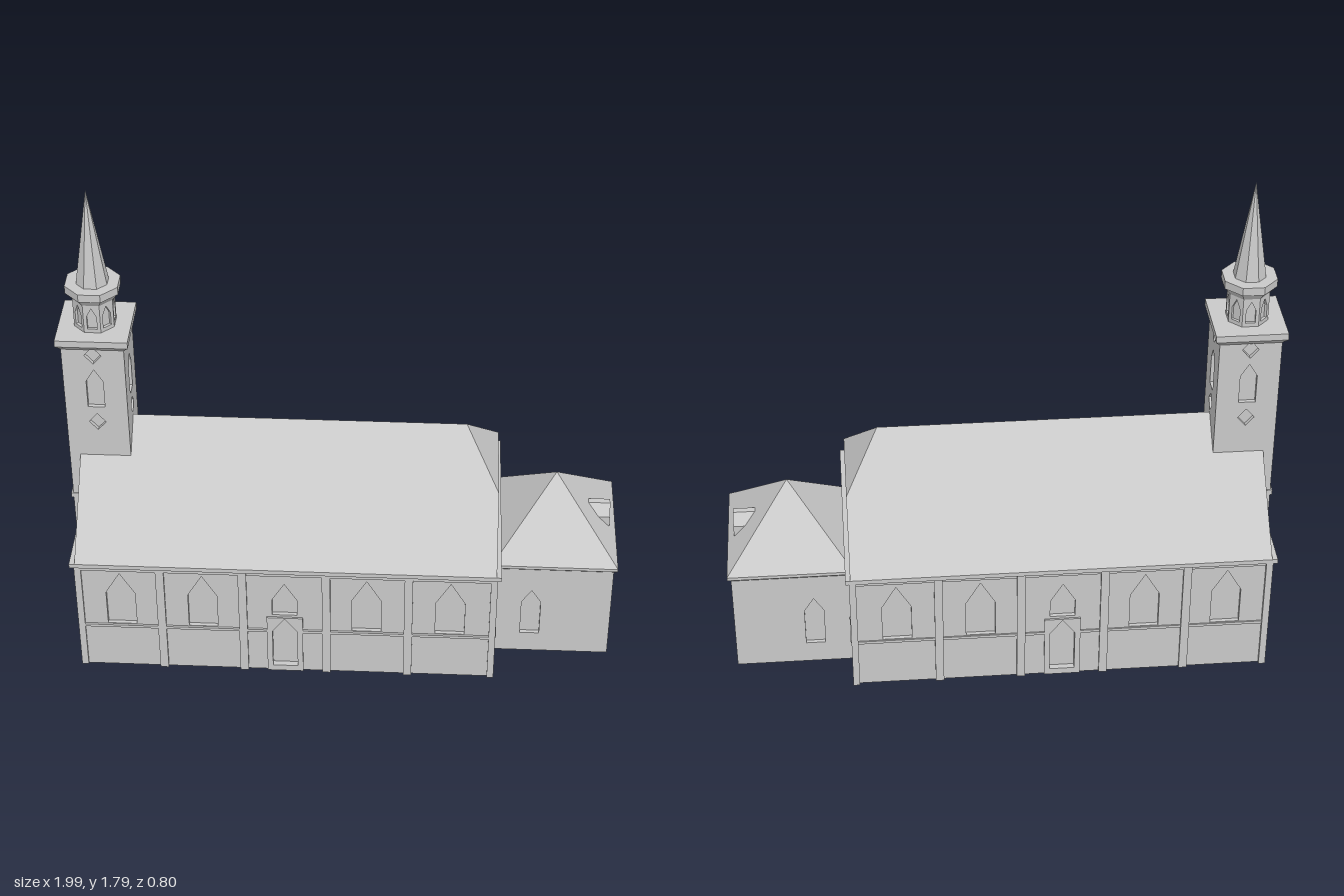
import * as THREE from 'three';
import { ConvexGeometry } from 'three/addons/geometries/ConvexGeometry.js';

const DEPTH = 0.015; // how far windows and doors are recessed
const stone = new THREE.MeshStandardMaterial({ color: 0xc8c8c8, flatShading: true });
stone.name = 'pale stone';

function add(parent, name, geometry, x = 0, y = 0, z = 0) {
  const mesh = new THREE.Mesh(geometry, stone);
  mesh.name = name;
  mesh.position.set(x, y, z);
  parent.add(mesh);
  return mesh;
}

// Box given by its limits on each axis
function block(parent, name, x0, x1, y0, y1, z0, z1) {
  return add(parent, name, new THREE.BoxGeometry(x1 - x0, y1 - y0, z1 - z0),
    (x0 + x1) / 2, (y0 + y1) / 2, (z0 + z1) / 2);
}

// Solid from corner points; each point is repeated at -z
function solid(parent, name, points) {
  const all = [];
  for (const [x, y, z] of points) {
    all.push(new THREE.Vector3(x, y, z));
    if (z) all.push(new THREE.Vector3(x, y, -z));
  }
  return add(parent, name, new ConvexGeometry(all));
}

// Opening outlines
const lancet = (x, w, y0, spring, top) =>
  [[x - w / 2, y0], [x + w / 2, y0], [x + w / 2, spring], [x, top], [x - w / 2, spring]];
const diamond = (y) => [[0, y - 0.035], [0.03, y], [0, y + 0.035], [-0.03, y]];
const rect = (w, y0, y1) => [[-w / 2, y0], [w / 2, y0], [w / 2, y1], [-w / 2, y1]];

// Wall slab with openings; its outer face is at the given position, turned by angle
function wall(parent, name, outline, openings, x, y, z, angle, depth = DEPTH) {
  const toV = (pts) => pts.map(([a, b]) => new THREE.Vector2(a, b));
  const shape = new THREE.Shape(toV(outline));
  for (const o of openings) shape.holes.push(new THREE.Path(toV(o)));
  const geo = new THREE.ExtrudeGeometry(shape, { depth, bevelEnabled: false });
  geo.translate(0, 0, -depth);
  const mesh = add(parent, name, geo, x, y, z);
  mesh.rotation.y = angle;
  return mesh;
}

function createNave() {
  const g = new THREE.Group();
  g.name = 'nave';
  const X0 = -0.945, X1 = 0.555, Z = 0.385, mid = (X0 + X1) / 2;
  block(g, 'naveCore', X0 + DEPTH, X1 - DEPTH, 0, 0.47, -Z + DEPTH, Z - DEPTH);

  // Long walls, mirrored front and back
  for (const s of [1, -1]) {
    const local = (x) => s * (x - mid);
    const openings = [-0.79, -0.495, 0.095, 0.395].map((x) => lancet(local(x), 0.105, 0.2, 0.345, 0.435));
    openings.push(lancet(local(-0.2), 0.09, 0.265, 0.335, 0.41));
    openings.push(lancet(local(-0.2), 0.09, 0.025, 0.19, 0.25));
    wall(g, 'longWall', rect(X1 - X0, 0, 0.47), openings, mid, 0, s * Z, s > 0 ? 0 : Math.PI);
    // Portal surround
    wall(g, 'sidePortal', rect(0.13, 0, 0.255), [lancet(0, 0.09, 0.025, 0.19, 0.25)],
      -0.2, 0, s * (Z + 0.007), s > 0 ? 0 : Math.PI, 0.007);
    // Pilasters
    for (const x of [-0.645, -0.35, -0.05, 0.245]) {
      block(g, 'pilaster', x - 0.015, x + 0.015, 0, 0.47, s * Z - 0.01, s * Z + 0.01);
    }
    for (const x of [X0 + 0.007, X1 - 0.007]) {
      block(g, 'cornerPilaster', x - 0.012, x + 0.012, 0, 0.47, s * Z - 0.012, s * Z + 0.008);
    }
    // String courses, broken by the portal
    for (const [a, b] of [[X0, -0.265], [-0.135, X1]]) {
      block(g, 'stringCourse', a, b, 0.186, 0.197, s * Z - 0.005, s * Z + 0.008);
    }
    block(g, 'upperMoulding', X0, X1, 0.452, 0.472, s * Z - 0.005, s * Z + 0.008);
    for (const [x, t] of [[X0, -1], [X1, 1]]) {
      const a = Math.min(x - t * 0.005, x + t * 0.008), b = Math.max(x - t * 0.005, x + t * 0.008);
      block(g, 'endStringCourse', a, b, 0.186, 0.197, s * 0.25 - 0.13, s * 0.25 + 0.13);
      block(g, 'endUpperMoulding', a, b, 0.452, 0.472, s * 0.25 - 0.1, s * 0.25 + 0.1);
    }
  }

  // End walls
  const ends = [-0.255, 0.255].map((x) => lancet(x, 0.105, 0.2, 0.345, 0.435));
  wall(g, 'towerEndWall', rect(2 * Z, 0, 0.47), ends, X0, 0, 0, -Math.PI / 2);
  wall(g, 'chancelEndWall', rect(2 * Z, 0, 0.47), [], X1, 0, 0, Math.PI / 2);

  // Eaves and half-hipped roof
  block(g, 'eaves', -0.965, 0.572, 0.468, 0.485, -0.4, 0.4);
  solid(g, 'naveRoof', [
    [X0, 0.485, 0.4], [X1, 0.485, 0.4], [X0, 0.86, 0],
    [0.435, 0.86, 0], [X1, 0.691, 0.18],
  ]);
  return g;
}

function createTower() {
  const g = new THREE.Group();
  g.name = 'tower';
  g.position.x = -0.873;
  const R = 0.11, H = 1.23;
  block(g, 'towerCore', -R + DEPTH, R - DEPTH, 0, H, -R + DEPTH, R - DEPTH);

  // Four walls; the outer one also has the entrance and lower windows
  for (let i = 0; i < 4; i++) {
    const a = i * Math.PI / 2;
    const openings = [diamond(1.19), lancet(0, 0.06, 0.97, 1.08, 1.13), diamond(0.905)];
    if (i === 3) {
      openings.push(lancet(0, 0.07, 0.6, 0.68, 0.74), lancet(0, 0.07, 0.385, 0.47, 0.53),
        lancet(0, 0.09, 0.025, 0.22, 0.3));
    }
    wall(g, 'towerWall', rect(2 * R, 0, H), openings, R * Math.sin(a), 0, R * Math.cos(a), a);
  }
  wall(g, 'mainPortal', rect(0.15, 0, 0.33), [lancet(0, 0.09, 0.025, 0.22, 0.3)],
    -R - 0.005, 0, 0, -Math.PI / 2, 0.005);
  for (const y of [0.35, 0.57]) block(g, 'towerBand', -R - 0.007, -R + 0.03, y - 0.01, y + 0.01, -R - 0.004, R + 0.004);

  // Flared cornice
  solid(g, 'towerCornice', [[-R, 1.215, R], [R, 1.215, R], [-0.127, 1.235, 0.127],
    [0.127, 1.235, 0.127], [-0.127, 1.26, 0.127], [0.127, 1.26, 0.127]]);

  // Octagonal belfry with a window in each face
  const k = 1 / Math.cos(Math.PI / 8);
  const octagon = (name, top, bottom, y0, y1) => add(g, name,
    new THREE.CylinderGeometry(top * k, bottom * k, y1 - y0, 8, 1, false, Math.PI / 8), 0, (y0 + y1) / 2, 0);
  octagon('belfryCore', 0.06, 0.06, 1.26, 1.39);
  const side = 2 * 0.07 * Math.tan(Math.PI / 8);
  for (let i = 0; i < 8; i++) {
    const a = i * Math.PI / 4;
    wall(g, 'belfryWall', rect(side, 1.26, 1.38), [lancet(0, 0.034, 1.275, 1.325, 1.36)],
      0.07 * Math.sin(a), 0, 0.07 * Math.cos(a), a, 0.01);
  }
  octagon('belfryFlare', 0.09, 0.07, 1.372, 1.4);
  octagon('belfryCornice', 0.092, 0.092, 1.4, 1.43);
  octagon('spire', 0.0005, 0.054, 1.43, 1.79);
  return g;
}

function createChancel() {
  const g = new THREE.Group();
  g.name = 'chancel';
  g.position.z = -0.004;
  const X0 = 0.54, X1 = 0.98, Z = 0.241, mid = (X0 + X1) / 2;
  block(g, 'chancelCore', X0, X1 - DEPTH, 0, 0.4, -Z + DEPTH, Z - DEPTH);
  for (const s of [1, -1]) {
    wall(g, 'chancelSideWall', rect(X1 - X0, 0, 0.4), [lancet(s * (0.69 - mid), 0.07, 0.085, 0.235, 0.29)],
      mid, 0, s * Z, s > 0 ? 0 : Math.PI);
  }
  wall(g, 'chancelEndWall', rect(2 * Z, 0, 0.4), [lancet(0, 0.07, 0.03, 0.21, 0.265)], X1, 0, 0, Math.PI / 2);

  // Eaves and pyramid roof
  solid(g, 'chancelEaves', [[X0, 0.39, Z], [X1, 0.39, Z], [X0, 0.403, 0.255],
    [0.993, 0.403, 0.255], [X0, 0.415, 0.255], [0.993, 0.415, 0.255]]);
  solid(g, 'chancelRoof', [[0.54, 0.415, 0.255], [0.993, 0.415, 0.255], [0.767, 0.653, 0]]);

  // Small gabled dormer
  const gable = [[-0.045, 0.435], [0.045, 0.435], [0.045, 0.485], [0.012, 0.525], [-0.012, 0.525], [-0.045, 0.485]];
  wall(g, 'dormerFront', gable, [lancet(0, 0.04, 0.45, 0.48, 0.505)], 0.968, 0, 0, Math.PI / 2);
  wall(g, 'dormerBody', gable, [], 0.954, 0, 0, Math.PI / 2, 0.11);
  return g;
}

export function createModel() {
  const model = new THREE.Group();
  model.name = 'church';
  model.add(createNave(), createTower(), createChancel());
  return model;
}
